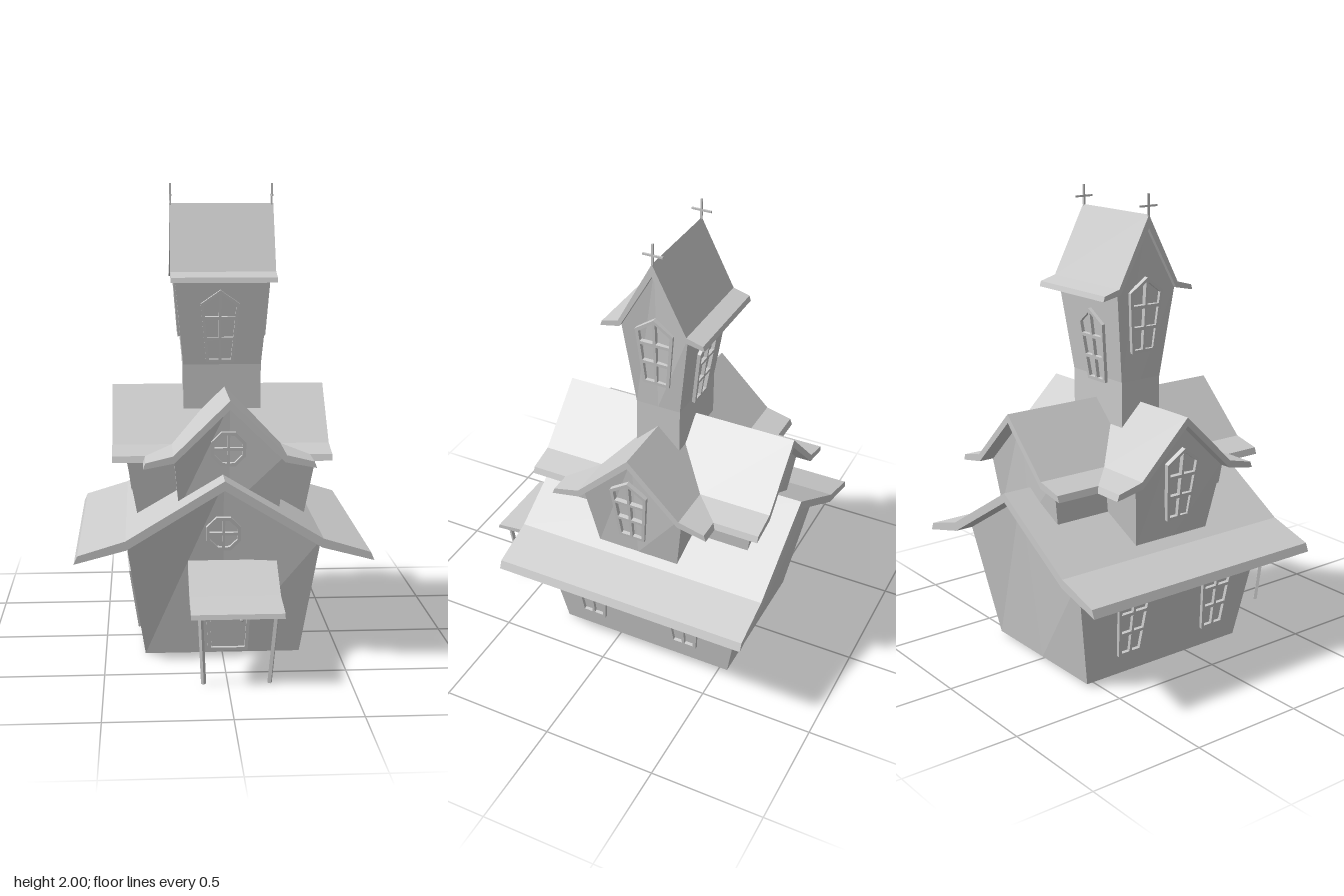
import * as THREE from 'three';

const mat = new THREE.MeshStandardMaterial({ color: 0xcccccc, flatShading: true, side: THREE.DoubleSide });
const V = (x, y, z) => new THREE.Vector3(x, y, z);

function mesh(name, geo) {
  const m = new THREE.Mesh(geo, mat);
  m.name = name;
  return m;
}

// Set position, heading and outward lean
function place(obj, x, y, z, yaw = 0, lean = 0) {
  obj.position.set(x, y, z);
  obj.rotation.set(lean, yaw, 0, 'YXZ');
  return obj;
}

function polygon(points, Type = THREE.Shape) {
  return new Type(points.map(([x, y]) => new THREE.Vector2(x, y)));
}

function extrude(shape, depth, start = 0) {
  const g = new THREE.ExtrudeGeometry(shape, { depth, bevelEnabled: false });
  return g.translate(0, 0, start);
}

// Gabled walls with the ridge along z; levels are [y, halfX, halfZ] from the ground up
function walls(name, levels, apex) {
  const n = levels.length - 1;
  const g = new THREE.BoxGeometry(2, n, 2, 2, n, 2);
  const p = g.attributes.position;
  for (let i = 0; i < p.count; i++) {
    const level = Math.round(p.getY(i) + n / 2);
    const [y, hx, hz] = levels[level];
    const onRidge = level === n && Math.abs(p.getX(i)) < 0.01;
    p.setXYZ(i, p.getX(i) * hx, onRidge ? apex : y, p.getZ(i) * hz);
  }
  g.computeVertexNormals();
  return mesh(name, g);
}

// Flared gable roof from half profiles (ridge to eave); a mitred roof meets its neighbours at 45 degrees
function roof(name, top, under, length, mitred = false) {
  const flip = (pts) => pts.map(([x, y]) => [-x, y]);
  const outline = [
    ...top.slice().reverse(), ...flip(top.slice(1)),
    ...flip(under.slice(1)).reverse(), ...under,
  ];
  const g = extrude(polygon(outline), length);
  if (mitred) {
    const p = g.attributes.position;
    for (let i = 0; i < p.count; i++) {
      if (p.getZ(i) < 1e-6) p.setZ(i, Math.abs(p.getX(i)));
    }
    g.computeVertexNormals();
  }
  return mesh(name, g);
}

// Pointed, tapering window frame with six openings
function pointedWindow() {
  const width = (y) => 0.06 + (0.025 * (y + 0.16)) / 0.26;
  const s = polygon([[-0.06, -0.16], [0.06, -0.16], [0.085, 0.1], [0, 0.16], [-0.085, 0.1]]);
  const rows = [[-0.146, -0.062, -0.062], [-0.048, 0.03, 0.03], [0.044, 0.092, 0.14]];
  for (const side of [-1, 1]) {
    for (const [low, outer, inner] of rows) {
      s.holes.push(polygon([
        [side * 0.006, low], [side * (width(low) - 0.014), low],
        [side * (width(outer) - 0.014), outer], [side * 0.006, inner],
      ], THREE.Path));
    }
  }
  return mesh('windowFrame', extrude(s, 0.02, -0.005));
}

// Eight-sided window frame with four openings
function roundWindow() {
  const ring = [];
  for (let i = 0; i < 8; i++) {
    const a = ((i + 0.5) * Math.PI) / 4;
    ring.push([0.079 * Math.cos(a), 0.079 * Math.sin(a)]);
  }
  const s = polygon(ring);
  for (const sx of [-1, 1]) {
    for (const sy of [-1, 1]) {
      const pane = [[0.006, 0.006], [0.06, 0.006], [0.058, 0.025], [0.025, 0.058], [0.006, 0.06]];
      s.holes.push(polygon(pane.map(([x, y]) => [x * sx, y * sy]), THREE.Path));
    }
  }
  return mesh('roundWindowFrame', extrude(s, 0.02, -0.004));
}

// Square bar between two points
function bar(name, a, b, t) {
  const m = mesh(name, new THREE.BoxGeometry(t, a.distanceTo(b), t));
  m.position.copy(a).lerp(b, 0.5);
  m.quaternion.setFromUnitVectors(V(0, 1, 0), b.clone().sub(a).normalize());
  return m;
}

export function createModel() {
  const model = new THREE.Group();
  model.name = 'crookedHouse';
  const Q = Math.PI / 2;

  // Ground floor
  model.add(place(walls('groundFloorWalls', [[0.01, 0.33, 0.405], [0.525, 0.408, 0.498]], 0.775), 0, 0, -0.135));
  model.add(place(roof('mainRoof',
    [[0, 0.797], [0.41, 0.55], [0.608, 0.49]],
    [[0, 0.757], [0.405, 0.512], [0.623, 0.455]], 1.15), 0, 0, -0.713));

  // Upper floor: two crossing gabled volumes
  model.add(place(walls('upperWallsLengthwise', [[0.65, 0.212, 0.432], [0.88, 0.233, 0.465]], 1.1), 0.027, 0, -0.14));
  model.add(place(walls('upperWallsCrosswise', [[0.57, 0.187, 0.365], [0.88, 0.233, 0.42]], 1.1), 0.005, 0, -0.117, Q));
  for (const [yaw, length] of [[0, 0.505], [2 * Q, 0.55], [Q, 0.445], [-Q, 0.49]]) {
    model.add(place(roof('upperRoof',
      [[0, 1.122], [0.235, 0.893], [0.35, 0.865]],
      [[0, 1.085], [0.23, 0.863], [0.36, 0.838]], length, true), 0.025, 0, -0.12, yaw));
  }

  // Tower
  model.add(place(walls('towerWalls', [[1, 0.1, 0.17], [1.22, 0.1, 0.17], [1.615, 0.15, 0.208]], 1.885), 0.015, 0, -0.12, Q));
  model.add(place(roof('towerRoof',
    [[0, 1.915], [0.152, 1.626], [0.225, 1.606]],
    [[0, 1.86], [0.145, 1.602], [0.232, 1.584]], 0.455), -0.21, 0, -0.12, Q));

  // Roof finials
  for (const x of [-0.205, 0.238]) {
    const finial = new THREE.Group();
    finial.name = 'finial';
    finial.add(bar('finialPost', V(x, 1.9, -0.12), V(x, 2, -0.12), 0.008));
    finial.add(bar('finialArm', V(x, 1.95, -0.165), V(x, 1.95, -0.077), 0.008));
    model.add(finial);
  }

  // Side windows, mirrored left and right
  for (const s of [-1, 1]) {
    for (const z of [0.12, -0.335]) model.add(place(pointedWindow(), s * 0.368, 0.26, z, s * Q, 0.15));
    model.add(place(pointedWindow(), 0.005 + s * 0.397, 0.82, -0.1, s * Q, 0.13));
    model.add(place(pointedWindow(), 0.015 + s * 0.19, 1.5, -0.12, s * Q, 0.08));
  }

  // Tower front and back windows
  model.add(place(pointedWindow(), 0.005, 1.39, 0.001, 0, 0.124));
  model.add(place(pointedWindow(), 0.005, 1.36, -0.238, Math.PI, 0.124));

  // Round gable windows
  model.add(place(roundWindow(), 0, 0.555, 0.338, 0, 0.12));
  model.add(place(roundWindow(), 0.022, 0.91, 0.314, 0, 0.08));

  // Door with frame and handle
  const door = new THREE.Group();
  door.name = 'door';
  const frame = polygon([[-0.085, -0.135], [0.085, -0.135], [0.098, 0.135], [-0.098, 0.135]]);
  frame.holes.push(polygon([[-0.072, -0.122], [0.072, -0.122], [0.084, 0.122], [-0.084, 0.122]], THREE.Path));
  const leaf = polygon([[-0.07, -0.12], [0.07, -0.12], [0.082, 0.12], [-0.082, 0.12]]);
  door.add(mesh('doorFrame', extrude(frame, 0.022, -0.004)));
  door.add(mesh('doorLeaf', extrude(leaf, 0.012, -0.004)));
  door.add(place(mesh('doorHandle', new THREE.SphereGeometry(0.009, 8, 6)), 0.06, 0.005, 0.016));
  model.add(place(door, 0.022, 0.16, 0.29, 0, 0.12));

  // Porch canopy, profile drawn in z and y
  const canopy = polygon([
    [-0.33, 0.435], [-0.52, 0.335], [-0.7, 0.316],
    [-0.706, 0.297], [-0.525, 0.312], [-0.335, 0.408],
  ]);
  model.add(place(mesh('porchCanopy', extrude(canopy, 0.375)), -0.15, 0, 0, Q));
  model.add(bar('porchPost', V(-0.112, 0.31, 0.66), V(-0.098, 0.003, 0.624), 0.015));
  model.add(bar('porchPost', V(0.195, 0.31, 0.66), V(0.17, 0.003, 0.624), 0.015));

  return model;
}
